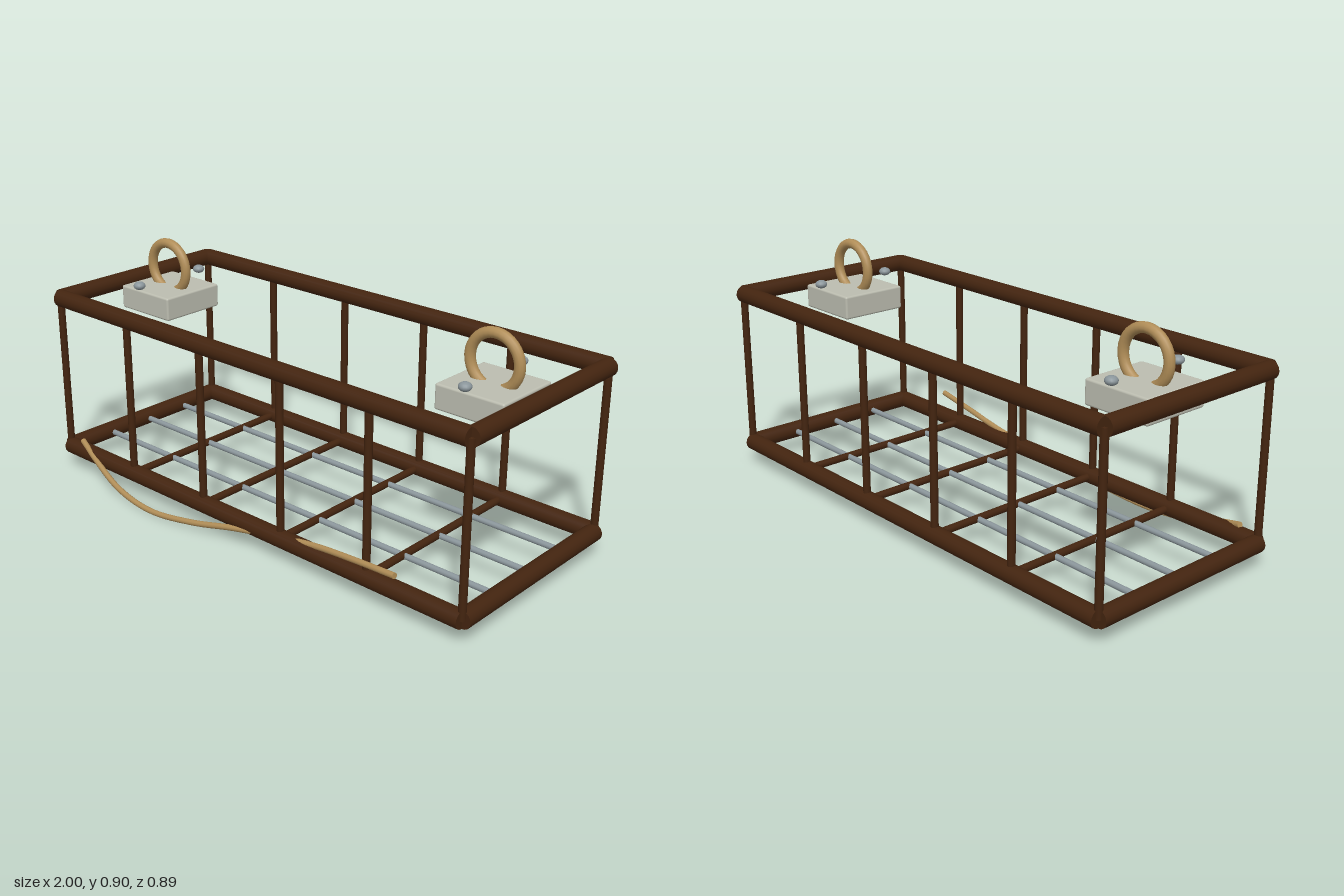
import * as THREE from 'three';
import { RoundedBoxGeometry } from 'three/addons/geometries/RoundedBoxGeometry.js';

const mat = (name, color) => {
  const m = new THREE.MeshStandardMaterial({ color });
  m.name = name;
  return m;
};

export function createModel() {
  const model = new THREE.Group();
  model.name = 'hangingRack';

  const wood = mat('dark brown wood', 0x43240f);
  const brass = mat('tan rope and brass', 0xb08d57);
  const stone = mat('pale grey block', 0xbcbdb0);
  const steel = mat('grey steel', 0x8a959a);

  const X = 0.967, ZC = -0.027, ZH = 0.387, LOW = 0.095, HIGH = 0.713;
  const FRONT = ZC + ZH, BACK = ZC - ZH;

  const add = (name, geometry, material, x = 0, y = 0, z = 0) => {
    const mesh = new THREE.Mesh(geometry, material);
    mesh.name = name;
    mesh.position.set(x, y, z);
    model.add(mesh);
    return mesh;
  };

  // Round bar of a given length along one axis
  const bar = (name, axis, length, radius, material, x, y, z) => {
    const g = new THREE.CylinderGeometry(radius, radius, length, 16);
    if (axis === 'x') g.rotateZ(Math.PI / 2);
    if (axis === 'z') g.rotateX(Math.PI / 2);
    return add(name, g, material, x, y, z);
  };

  // Upper and lower rectangular frames
  for (const y of [LOW, HIGH]) {
    for (const z of [FRONT, BACK]) bar('longRail', 'x', 2 * X, 0.033, wood, 0, y, z);
    for (const x of [-X, X]) bar('endRail', 'z', 2 * ZH, 0.033, wood, x, y, ZC);
  }

  // Posts on both long sides, with floor slats between the inner ones
  for (let i = 0; i < 6; i++) {
    const x = -X + (i * 2 * X) / 5;
    for (const z of [FRONT, BACK]) {
      bar('post', 'y', HIGH - LOW, 0.014, wood, x, (HIGH + LOW) / 2, z);
    }
    if (i > 0 && i < 5) bar('floorSlat', 'z', 2 * ZH, 0.014, wood, x, LOW, ZC);
  }

  // Steel rods running along the floor
  for (const dz of [-ZH / 2, 0, ZH / 2]) {
    bar('floorRod', 'x', 1.9, 0.011, steel, 0, LOW, ZC + dz);
  }

  // Hanging blocks, each with a ring and two domed bolts
  for (const x of [-0.773, 0.773]) {
    add('hangerBlock', new RoundedBoxGeometry(0.268, 0.091, 0.268, 2, 0.008), stone, x, 0.673, ZC);
    add('hangerRing', new THREE.TorusGeometry(0.096, 0.019, 12, 32), brass, x, 0.79, ZC);
    for (const dz of [-0.155, 0.155]) {
      const bolt = add('bolt', new THREE.SphereGeometry(0.023, 16, 10), steel, x, 0.749, ZC + dz);
      bolt.scale.y = 0.7;
    }
  }

  // Loose rope sagging along the lower front rail
  const path = new THREE.CatmullRomCurve3([
    [-0.89, 0.135, 0.36], [-0.77, 0.097, 0.393], [-0.6, 0.04, 0.423],
    [-0.41, 0.017, 0.432], [-0.2, 0.037, 0.415], [0, 0.074, 0.388],
    [0.33, 0.124, 0.365], [0.55, 0.154, 0.382], [0.73, 0.174, 0.4],
  ].map(p => new THREE.Vector3(...p)));
  add('rope', new THREE.TubeGeometry(path, 60, 0.011, 10), brass);
  for (const t of [0, 1]) {
    const p = path.getPoint(t);
    const cap = add('ropeEnd', new THREE.CircleGeometry(0.011, 10), brass, p.x, p.y, p.z);
    cap.lookAt(p.clone().addScaledVector(path.getTangent(t), t ? 1 : -1));
  }

  return model;
}
